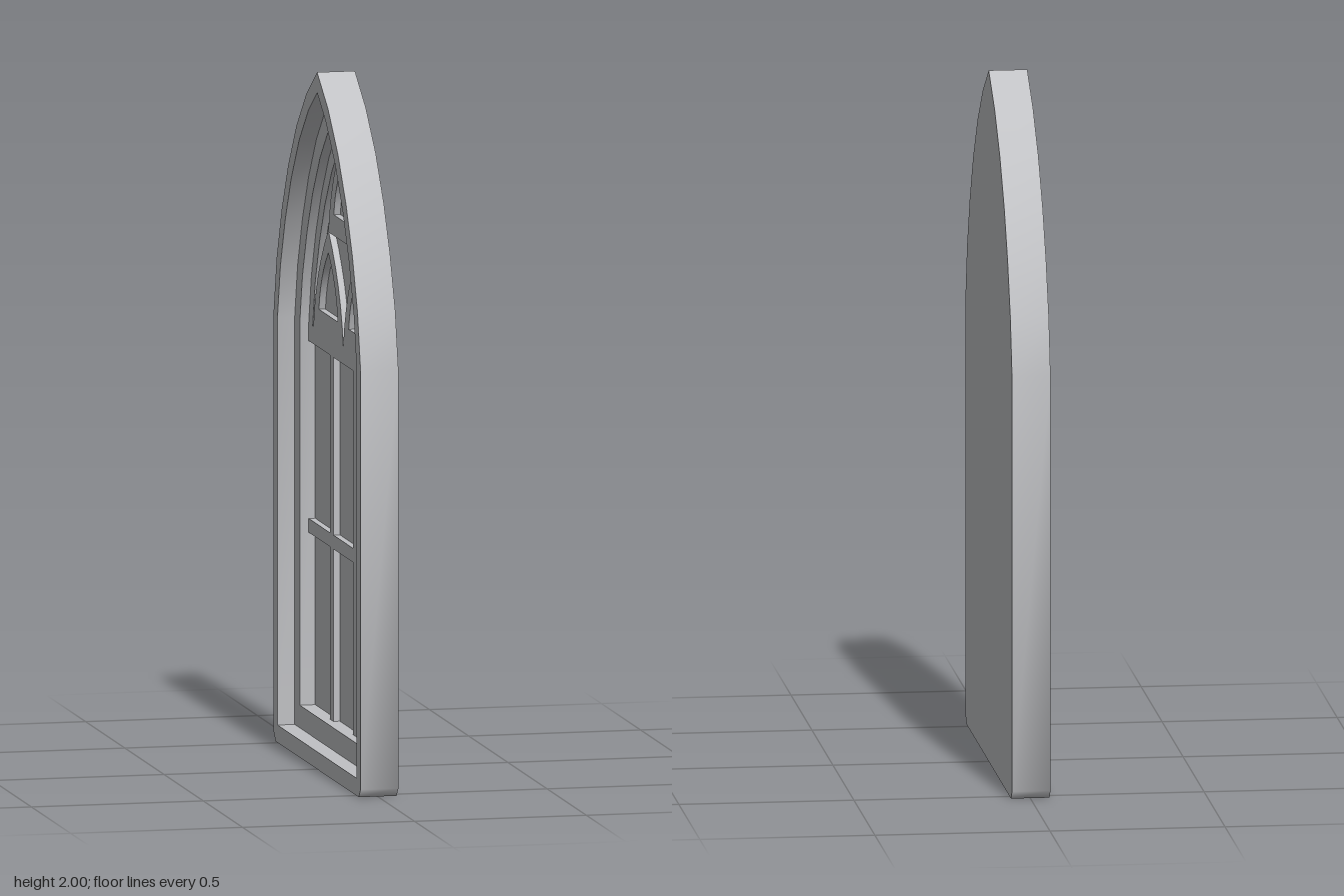
import * as THREE from 'three';
import { toCreasedNormals } from 'three/addons/utils/BufferGeometryUtils.js';

const V = (x, y) => new THREE.Vector2(x, y);

// Right half of the pointed arch, from spring line up to the apex
const ARCH = [[0.555, 1.225], [0.515, 1.39], [0.45, 1.54], [0.37, 1.675], [0.265, 1.805], [0.14, 1.915]];
const FRONT = -0.055, STEP = -0.005, TRACERY = 0.021, PANE = 0.04, BACK = 0.055;

// Closed arch outline above the given bottom corner points (right side, mirrored)
function archOutline(base) {
  const half = [...base, ...ARCH].map(([x, y]) => V(x, y));
  return [...half, V(0, 2), ...half.map(p => V(-p.x, p.y)).reverse()];
}

// Move every edge of a counter-clockwise outline inward by d
function inset(points, d) {
  const n = points.length;
  const normal = (a, b) => V(a.y - b.y, b.x - a.x).normalize();
  return points.map((p, i) => {
    const n1 = normal(points[(i + n - 1) % n], p);
    const n2 = normal(p, points[(i + 1) % n]);
    return n1.clone().add(n2).multiplyScalar(d / (1 + n1.dot(n2))).add(p);
  });
}

// Small pointed arch: straight to the spring height, then curved to the apex
function lancet(cx, bottom, spring, top, hw) {
  const s = new THREE.Shape();
  const bend = spring + (top - spring) * 0.55;
  s.moveTo(cx - hw, bottom).lineTo(cx + hw, bottom);
  if (spring > bottom) s.lineTo(cx + hw, spring);
  s.quadraticCurveTo(cx + hw * 0.85, bend, cx, top);
  s.quadraticCurveTo(cx - hw * 0.85, bend, cx - hw, spring);
  return s.getPoints(6);
}

const rect = (x0, x1, y0, y1) => [V(x0, y0), V(x1, y0), V(x1, y1), V(x0, y1)];

export function createModel() {
  const model = new THREE.Group();
  model.name = 'archedWindow';
  const stone = new THREE.MeshStandardMaterial({ color: 0xc0c1c4 });
  stone.name = 'paleGrey';

  // Flat outline extruded through the wall thickness from x0 to x1
  function slab(name, outline, holes, x0, x1) {
    const shape = new THREE.Shape(outline);
    holes.forEach(h => shape.holes.push(new THREE.Path(h)));
    const geo = new THREE.ExtrudeGeometry(shape, { depth: x1 - x0, bevelEnabled: false });
    geo.rotateY(Math.PI / 2).translate(x0, 0, 0);
    const mesh = new THREE.Mesh(toCreasedNormals(geo, 0.9), stone);
    mesh.name = name;
    model.add(mesh);
  }

  // Stepped frame and closed pane behind it
  const outer = archOutline([[0.53, 0], [0.555, 0.025]]);
  const square = archOutline([[0.555, 0]]);
  const frameInner = inset(square, 0.05);
  const opening = inset(square, 0.115);
  slab('outerFrame', outer, [frameInner], FRONT, BACK);
  slab('innerFrame', frameInner, [opening], STEP, BACK);
  slab('pane', opening, [], PANE, BACK);

  // Glazing bars
  for (const z of [-0.147, 0.147]) {
    slab('verticalBar', rect(z - 0.02, z + 0.02, 0.115, 1.17), [], TRACERY, PANE);
  }
  slab('crossBar', rect(-0.44, 0.44, 0.61, 0.65), [], TRACERY, PANE);

  // Band following the arch, closed along the bottom
  const cut = (points, y) => points.map(p => V(p.x, Math.max(p.y, y)));
  slab('traceryRim', cut(opening, 1.16), [cut(inset(square, 0.165), 1.21)], TRACERY, PANE);

  // Two lower lancets with one above them
  for (const z of [-0.19, 0.19]) {
    slab('lowerLancet', lancet(z, 1.16, 1.21, 1.515, 0.19),
      [lancet(z, 1.27, 1.27, 1.45, 0.12)], TRACERY, PANE);
  }
  slab('upperLancet', lancet(0, 1.51, 1.51, 1.81, 0.19),
    [lancet(0, 1.57, 1.57, 1.74, 0.12)], TRACERY, PANE);

  return model;
}
